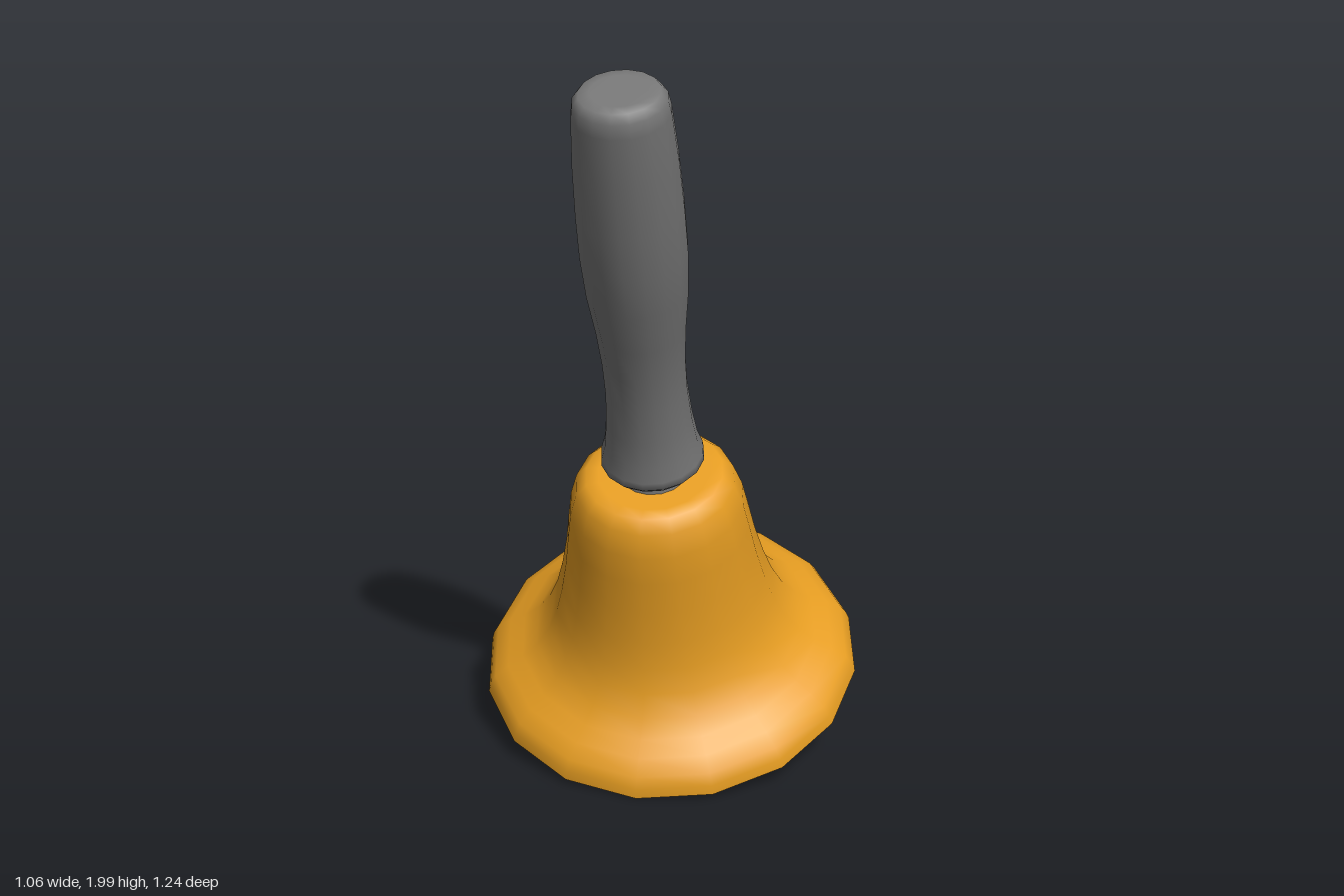
import * as THREE from 'three';

const SIDES = 16;

// Turns a [radius, height] profile around the bell's own axis.
function turned(name, profile, material) {
  const points = profile.map(([r, h]) => new THREE.Vector2(r, h));
  const mesh = new THREE.Mesh(new THREE.LatheGeometry(points, SIDES), material);
  mesh.name = name;
  return mesh;
}

export function createModel() {
  const brass = new THREE.MeshStandardMaterial({ color: 0xe69d22 });
  const brassFlat = new THREE.MeshStandardMaterial({ color: 0xe69d22, flatShading: true });
  const grey = new THREE.MeshStandardMaterial({ color: 0x777777 });

  const bell = new THREE.Group();
  bell.name = 'handBell';

  // Flared outer shell with a rounded shoulder and flat crown
  bell.add(turned('bellShell', [
    [0.53, 0], [0.522, 0.025], [0.505, 0.056], [0.465, 0.086], [0.42, 0.112],
    [0.376, 0.147], [0.337, 0.2], [0.308, 0.265], [0.286, 0.34], [0.265, 0.436],
    [0.25, 0.53], [0.236, 0.61], [0.215, 0.675], [0.185, 0.705], [0.15, 0.708], [0, 0.708],
  ], brass));

  // Flat lip and the faceted bevel inside it
  bell.add(turned('bellLip', [[0.485, 0], [0.53, 0]], brassFlat));
  bell.add(turned('lipBevel', [[0.425, 0.06], [0.485, 0]], brassFlat));

  // Hollow inside, running from the crown down to the bevel
  bell.add(turned('bellInside', [
    [0, 0.67], [0.15, 0.668], [0.19, 0.64], [0.21, 0.58], [0.235, 0.436],
    [0.257, 0.34], [0.28, 0.26], [0.31, 0.19], [0.35, 0.13], [0.425, 0.06],
  ], brass));

  // Short neck joining the crown and the handle
  bell.add(turned('neck', [[0.095, 0.7], [0.085, 0.72], [0.085, 0.745]], grey));

  // Turned grip with a flared foot, narrow waist and rounded end
  bell.add(turned('handle', [
    [0, 0.738], [0.085, 0.738], [0.125, 0.75], [0.138, 0.765], [0.136, 0.785],
    [0.124, 0.825], [0.114, 0.9], [0.107, 1.0], [0.108, 1.1], [0.115, 1.2],
    [0.129, 1.32], [0.135, 1.44], [0.134, 1.56], [0.129, 1.7], [0.12, 1.83],
    [0.114, 1.865], [0.098, 1.885], [0.07, 1.888], [0, 1.888],
  ], grey));

  // The bell leans forward about the centre of its mouth
  bell.position.set(0, 0.186, -0.122);
  bell.rotation.x = THREE.MathUtils.degToRad(20);

  const model = new THREE.Group();
  model.add(bell);
  return model;
}
